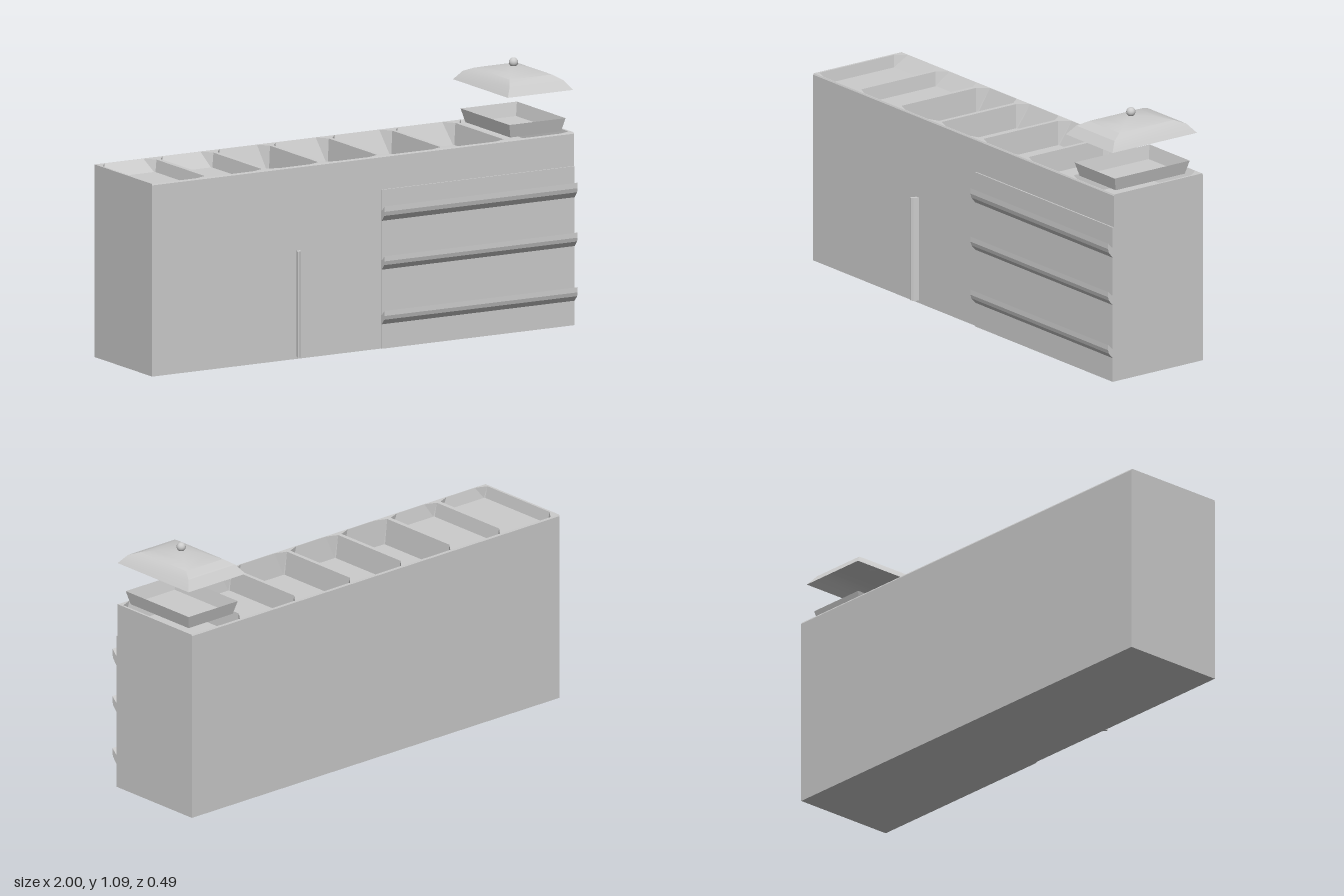
import * as THREE from 'three';
import { toCreasedNormals } from 'three/addons/utils/BufferGeometryUtils.js';

const solid = new THREE.MeshStandardMaterial({ color: 0xcccccc });
const thin = new THREE.MeshStandardMaterial({ color: 0xcccccc, side: THREE.DoubleSide });

// Rectangular ring at height y, corners counterclockwise seen from above
const rect = (x0, x1, z0, z1, y) => [[x0, y, z1], [x1, y, z1], [x1, y, z0], [x0, y, z0]];

// Rectangular ring with cut corners: front cuts (fx, fz), back cuts (bx, bz)
const cutRect = (x0, x1, z0, z1, y, fx, fz, bx, bz) => [
  [x0 + fx, y, z1], [x1 - fx, y, z1], [x1, y, z1 - fz], [x1, y, z0 + bz],
  [x1 - bx, y, z0], [x0 + bx, y, z0], [x0, y, z0 + bz], [x0, y, z1 - fz]];

// Skin a stack of rings with flat faces, optionally closing either end
function loft(rings, capStart, capEnd) {
  const pos = [];
  const tri = (a, b, c) => pos.push(...a, ...b, ...c);
  const n = rings[0].length;
  for (let r = 0; r < rings.length - 1; r++) {
    const a = rings[r], b = rings[r + 1];
    for (let i = 0; i < n; i++) {
      const j = (i + 1) % n;
      tri(a[i], a[j], b[j]);
      tri(a[i], b[j], b[i]);
    }
  }
  const first = rings[0], last = rings[rings.length - 1];
  for (let i = 1; i < n - 1; i++) {
    if (capStart) tri(first[0], first[i + 1], first[i]);
    if (capEnd) tri(last[0], last[i], last[i + 1]);
  }
  const g = new THREE.BufferGeometry();
  g.setAttribute('position', new THREE.Float32BufferAttribute(pos, 3));
  g.computeVertexNormals();
  return g;
}

// Hooked finger lip running along x, centred, back face on z = 0
function lipGeometry(length, scale) {
  const pts = [[0, -0.035], [0.02, -0.01], [0.025, 0.008], [0.024, 0.031],
    [0.012, 0.018], [0.004, 0.01], [0, 0.008]];
  const shape = new THREE.Shape(pts.map(([z, y]) => new THREE.Vector2(z, y * scale)));
  const g = new THREE.ExtrudeGeometry(shape, { depth: length, bevelEnabled: false });
  return g.translate(0, 0, -length / 2).rotateY(-Math.PI / 2);
}

export function createModel() {
  const model = new THREE.Group();
  const add = (name, geometry, material = solid) => {
    const mesh = new THREE.Mesh(geometry, material);
    mesh.name = name;
    model.add(mesh);
    return mesh;
  };
  const top = 0.8, back = -0.243, front = 0.214;

  // Cabinet walls and base, with a slightly eased top edge
  add('cabinetBody', loft([
    rect(-1, 1, back, front, 0),
    rect(-1, 1, back, front, top - 0.006),
    rect(-1, 1, back + 0.003, front - 0.003, top)], true, false));

  // Seven bins sunk into the counter: [left edge, right edge, depth]
  const bins = [[-0.99, -0.735, 0.05], [-0.715, -0.465, 0.06], [-0.445, -0.197, 0.11],
    [-0.178, 0.082, 0.1], [0.1, 0.383, 0.1], [0.4, 0.682, 0.09], [0.7, 0.99, 0.09]];
  const outline = (ring) => ring.map(([x, , z]) => new THREE.Vector2(x, -z));
  const counter = new THREE.Shape(outline(rect(-1, 1, back + 0.003, front - 0.003, 0)));
  bins.forEach(([x0, x1, depth], i) => {
    const rim = cutRect(x0, x1, back + 0.005, front - 0.006, top, 0.05, 0.02, 0.035, 0.045);
    const floor = cutRect(x0 + 0.008, x1 - 0.008, -0.192, 0.196, top - depth,
      0.004, 0.004, 0.004, 0.004);
    counter.holes.push(new THREE.Path(outline(rim).reverse()));
    add('bin' + (i + 1), loft([rim, floor], false, true), thin);
  });
  add('counterRim', new THREE.ShapeGeometry(counter).rotateX(-Math.PI / 2).translate(0, top, 0), thin);

  // Drawer front standing slightly proud, with three finger lips
  add('drawerFront', new THREE.BoxGeometry(0.915, 0.66, 0.02)).position.set(0.5425, 0.33, 0.21);
  [0.565, 0.36, 0.133].forEach((y, i) => {
    add('drawerHandle' + (i + 1), lipGeometry(0.915, i ? 0.93 : 1)).position.set(0.5425, y, 0.219);
  });

  // Upright door lip
  add('doorHandle', lipGeometry(0.44, 0.43).rotateZ(Math.PI / 2)).position.set(-0.312, 0.23, 0.214);

  // Tapered open tray standing on the counter
  add('servingTray', loft([
    rect(0.975, 0.708, 0.19, -0.195, top + 0.057),
    rect(0.962, 0.722, 0.175, -0.18, top + 0.001)], false, true), thin);

  // Domed rectangular lid hovering above the tray
  const cx = 0.84;
  const lidRings = [[0.155, 0.217, 0.977], [0.127, 0.185, 1.015], [0.1, 0.14, 1.033],
    [0.065, 0.09, 1.046], [0.03, 0.04, 1.054], [0.004, 0.006, 1.057]]
    .map(([hx, hz, y]) => rect(cx - hx, cx + hx, -hz, hz, y));
  add('lid', toCreasedNormals(loft(lidRings, false, true), 0.45), thin);
  add('lidKnob', new THREE.SphereGeometry(0.019, 24, 16)).position.set(cx, 1.071, 0.003);

  return model;
}
